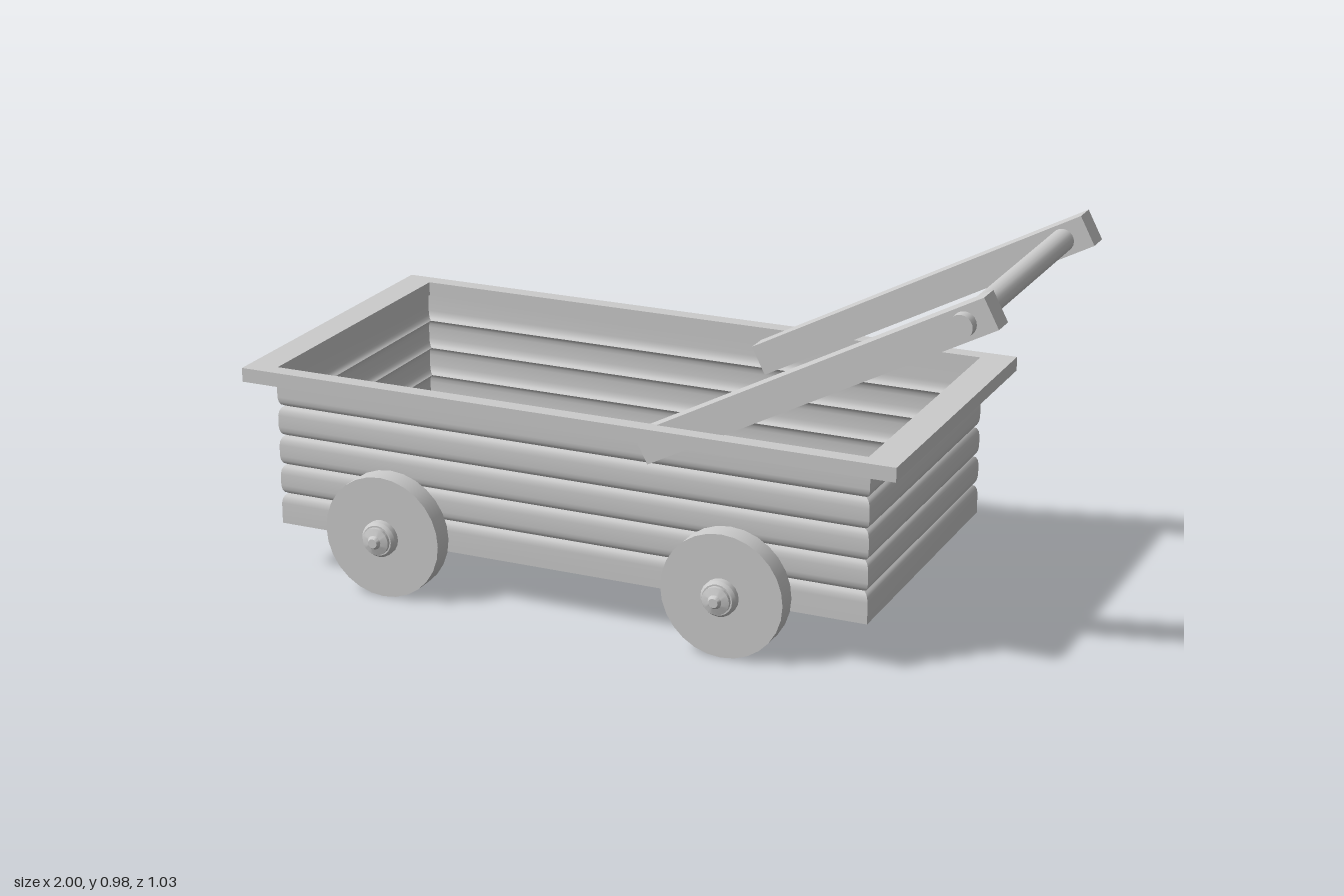
import * as THREE from 'three';
import { mergeGeometries, toCreasedNormals } from 'three/addons/utils/BufferGeometryUtils.js';

const material = new THREE.MeshStandardMaterial({ color: 0xcccccc });
const sheet = new THREE.MeshStandardMaterial({ color: 0xcccccc, side: THREE.DoubleSide });

const BODY_X = -0.115, HALF_L = 0.81, HALF_W = 0.405, BASE = 0.125;

function part(name, geometry, x = 0, y = 0, z = 0, mat = material) {
  const mesh = new THREE.Mesh(geometry, mat);
  mesh.name = name;
  mesh.position.set(x, y, z);
  return mesh;
}

// One board running round the four sides; profile is [inset, height] from top to bottom
function boardRing(profile) {
  const sides = [];
  for (let i = 0; i < 4; i++) {
    const [half, out] = i % 2 ? [HALF_W, HALF_L] : [HALF_L, HALF_W];
    const g = new THREE.PlaneGeometry(2, 1, 1, profile.length - 1);
    const p = g.attributes.position;
    for (let v = 0; v < p.count; v++) {
      const [inset, y] = profile[Math.floor(v / 2)];
      p.setXYZ(v, Math.sign(p.getX(v)) * (half - inset), y, out - inset);
    }
    g.computeVertexNormals();
    sides.push(g.rotateY(i * Math.PI / 2));
  }
  return mergeGeometries(sides);
}

function createBody() {
  const body = new THREE.Group();
  body.name = 'body';
  const round = [[0.014, 0], [0.006, 0.005], [0.002, 0.013], [0, 0.025]];
  const h = 0.08;
  for (let i = 0; i < 5; i++) {
    const y = BASE + i * h;
    const lower = round.map(([d, t]) => [d, y + t]).reverse();
    const upper = round.map(([d, t]) => [d, y + h - t]);
    let profile = [...upper, ...lower];
    if (i === 0) profile = [...upper, [0, y]];         // square bottom edge
    if (i === 4) profile = [[0, 0.52], ...lower];      // runs up into the rim
    body.add(part('board', boardRing(profile), BODY_X, 0, 0, sheet));
  }
  const floor = new THREE.PlaneGeometry(2 * HALF_L, 2 * HALF_W).rotateX(-Math.PI / 2);
  body.add(part('floor', floor, BODY_X, BASE, 0, sheet));

  // Flat rim with a rectangular opening
  const rect = (target, x0, x1, z) => {
    target.moveTo(x0, -z).lineTo(x1, -z).lineTo(x1, z).lineTo(x0, z).closePath();
    return target;
  };
  const shape = rect(new THREE.Shape(), -1, 0.775, 0.448);
  shape.holes.push(rect(new THREE.Path(), -0.92, 0.69, 0.405));
  const rim = new THREE.ExtrudeGeometry(shape, { depth: 0.037, bevelEnabled: false });
  body.add(part('rim', rim.rotateX(-Math.PI / 2), 0, 0.515, 0));
  return body;
}

function createWheel(x, side) {
  const wheel = new THREE.Group();
  wheel.name = 'wheel';
  const disc = new THREE.CylinderGeometry(0.161, 0.161, 0.057, 28).rotateX(Math.PI / 2);
  wheel.add(part('disc', disc));
  // Stepped hub ending in a blunt point
  const profile = [[0.047, 0.02], [0.047, 0.045], [0.04, 0.053], [0.036, 0.053],
    [0.036, 0.062], [0.018, 0.068], [0.012, 0.077], [0, 0.077]];
  const hub = new THREE.LatheGeometry(profile.map(([r, y]) => new THREE.Vector2(r, y)), 20);
  wheel.add(part('hub', toCreasedNormals(hub.rotateX(Math.PI / 2), 0.5)));
  wheel.position.set(x, 0.161, side * 0.44);
  if (side < 0) wheel.rotation.y = Math.PI;
  return wheel;
}

function createHandle() {
  const handle = new THREE.Group();
  handle.name = 'handle';
  for (const z of [0.376, -0.368]) {
    const arm = part('handleArm', new THREE.BoxGeometry(0.993, 0.082, 0.065), 0.54, 0.713, z);
    arm.rotation.z = THREE.MathUtils.degToRad(27.6);
    handle.add(arm);
  }
  const bar = new THREE.CylinderGeometry(0.03, 0.03, 0.872, 20).rotateX(Math.PI / 2);
  handle.add(part('handleBar', bar, 0.916, 0.911, 0.002));
  return handle;
}

export function createModel() {
  const wagon = new THREE.Group();
  wagon.name = 'wagon';
  wagon.add(createBody(), createHandle());
  for (const x of [-0.595, 0.341]) {
    for (const side of [1, -1]) wagon.add(createWheel(x, side));
  }
  return wagon;
}
